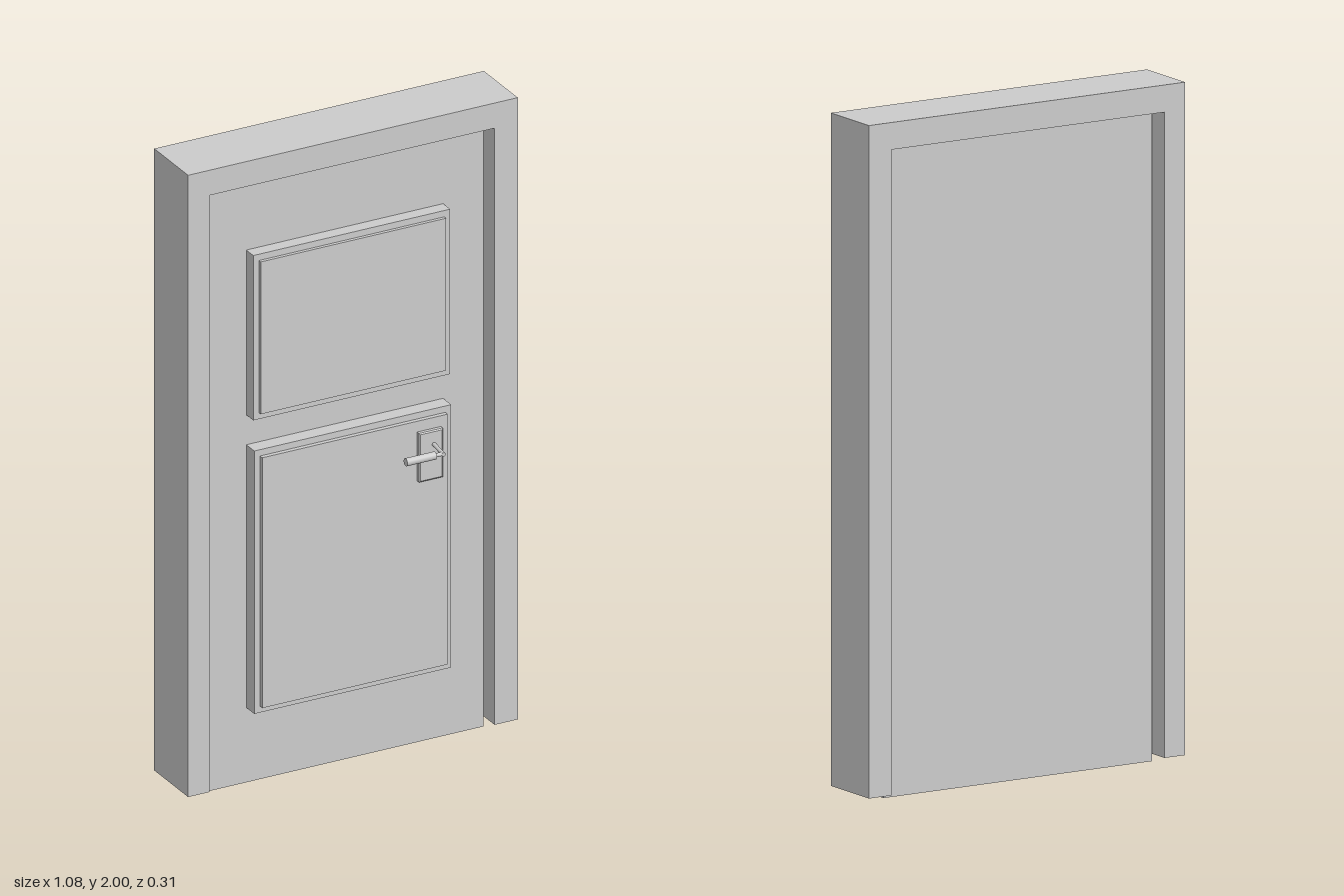
import * as THREE from 'three';

const material = new THREE.MeshStandardMaterial({ color: 0xcccccc });

function addMesh(parent, name, geometry) {
  const mesh = new THREE.Mesh(geometry, material);
  mesh.name = name;
  parent.add(mesh);
  return mesh;
}

// Box given by its extents on each axis
function addBox(parent, name, [x0, x1], [y0, y1], [z0, z1]) {
  const mesh = addMesh(parent, name, new THREE.BoxGeometry(x1 - x0, y1 - y0, z1 - z0));
  mesh.position.set((x0 + x1) / 2, (y0 + y1) / 2, (z0 + z1) / 2);
  return mesh;
}

// Round bar between two points
function addBar(parent, name, from, to, radius) {
  const a = new THREE.Vector3(...from), b = new THREE.Vector3(...to);
  const dir = b.clone().sub(a);
  const mesh = addMesh(parent, name, new THREE.CylinderGeometry(radius, radius, dir.length(), 20));
  mesh.position.copy(a).add(b).multiplyScalar(0.5);
  mesh.quaternion.setFromUnitVectors(new THREE.Vector3(0, 1, 0), dir.normalize());
  return mesh;
}

export function createModel() {
  const model = new THREE.Group();
  model.name = 'door';

  // Frame: one U-shaped outline, open at the bottom
  const outline = [[-0.54, 0.02], [-0.47, 0.02], [-0.47, 1.92], [0.464, 1.92],
    [0.464, 0.02], [0.54, 0.02], [0.54, 2], [-0.54, 2]];
  const shape = new THREE.Shape(outline.map(([x, y]) => new THREE.Vector2(x, y)));
  const frame = addMesh(model, 'doorFrame',
    new THREE.ExtrudeGeometry(shape, { depth: 0.203, bevelEnabled: false }));
  frame.position.z = -0.16;

  // Door leaf, set back inside the frame
  addBox(model, 'doorLeaf', [-0.466, 0.452], [0, 1.918], [-0.1, 0]);

  // Two stepped panels: bottom, top, height of the border and of the field
  const panels = [
    ['lowerPanel', 0.238, 1.075, 0.048, 0.062],
    ['upperPanel', 1.17, 1.695, 0.042, 0.053],
  ];
  for (const [name, y0, y1, zBorder, zField] of panels) {
    const panel = new THREE.Group();
    panel.name = name;
    addBox(panel, 'panelBorder', [-0.326, 0.319], [y0, y1], [-0.005, zBorder]);
    addBox(panel, 'panelField', [-0.307, 0.3], [y0 + 0.02, y1 - 0.02], [0, zField]);
    model.add(panel);
  }

  // Handle: bevelled plate, leaning stem, short neck and thicker grip
  const handle = new THREE.Group();
  handle.name = 'handle';
  const plate = new THREE.Shape();
  plate.moveTo(-0.035, -0.074).lineTo(0.035, -0.074).lineTo(0.035, 0.074).lineTo(-0.035, 0.074);
  const plateMesh = addMesh(handle, 'handlePlate', new THREE.ExtrudeGeometry(plate, {
    depth: 0.013, bevelEnabled: true, bevelThickness: 0.003, bevelSize: 0.004, bevelSegments: 1,
  }));
  plateMesh.position.set(0.239, 0.943, 0.06);
  addBar(handle, 'handleStem', [0.248, 0.977, 0.07], [0.239, 0.977, 0.15], 0.006);
  addBar(handle, 'handleNeck', [0.243, 0.977, 0.144], [0.21, 0.977, 0.143], 0.006);
  addBar(handle, 'handleGrip', [0.214, 0.977, 0.143], [0.118, 0.977, 0.143], 0.012);
  model.add(handle);

  return model;
}
